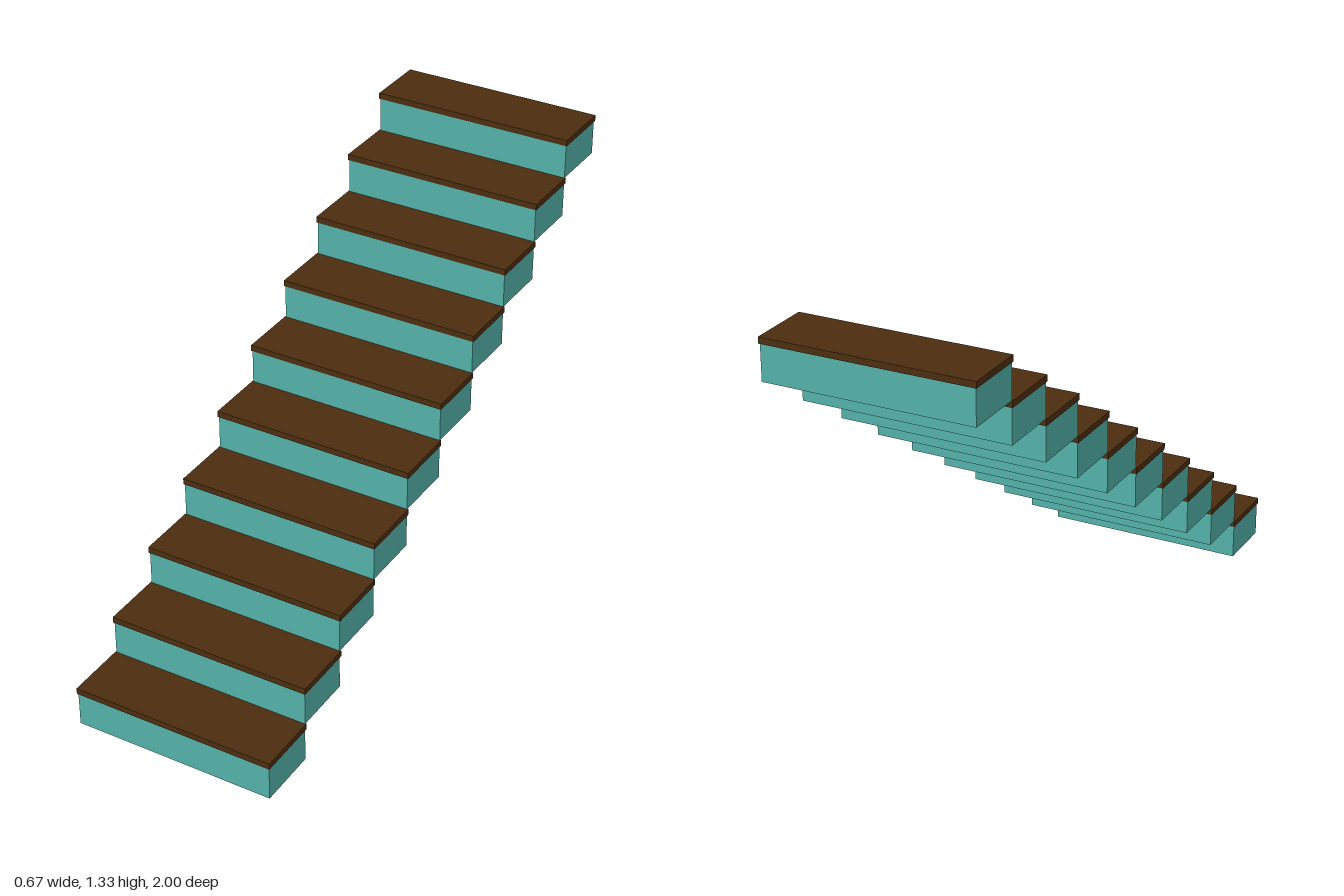
import * as THREE from 'three';

const STEPS = 10;
const RISE = 0.1329; // height of one step, tread included
const RUN = 0.1993; // depth of one riser block
const WIDTH = 0.6645;
const TREAD = 0.02; // tread thickness
const LIP = 0.0033; // tread overhang on every side

export function createModel() {
  const staircase = new THREE.Group();
  staircase.name = 'staircase';

  const teal = new THREE.MeshStandardMaterial({ color: 0x54b2aa });
  const brown = new THREE.MeshStandardMaterial({ color: 0x4d2e0f });
  const blockGeometry = new THREE.BoxGeometry(WIDTH, RISE - TREAD, RUN);
  const treadGeometry = new THREE.BoxGeometry(WIDTH + 2 * LIP, TREAD, RUN + 2 * LIP);

  // Each step is a solid block capped by a thin overhanging tread
  for (let i = 0; i < STEPS; i++) {
    const step = new THREE.Group();
    step.name = `step${i + 1}`;
    step.position.set(0, i * RISE, ((STEPS - 1) / 2 - i) * RUN);

    const block = new THREE.Mesh(blockGeometry, teal);
    block.name = 'riserBlock';
    block.position.y = (RISE - TREAD) / 2;

    const tread = new THREE.Mesh(treadGeometry, brown);
    tread.name = 'tread';
    tread.position.y = RISE - TREAD / 2;

    step.add(block, tread);
    staircase.add(step);
  }
  return staircase;
}
